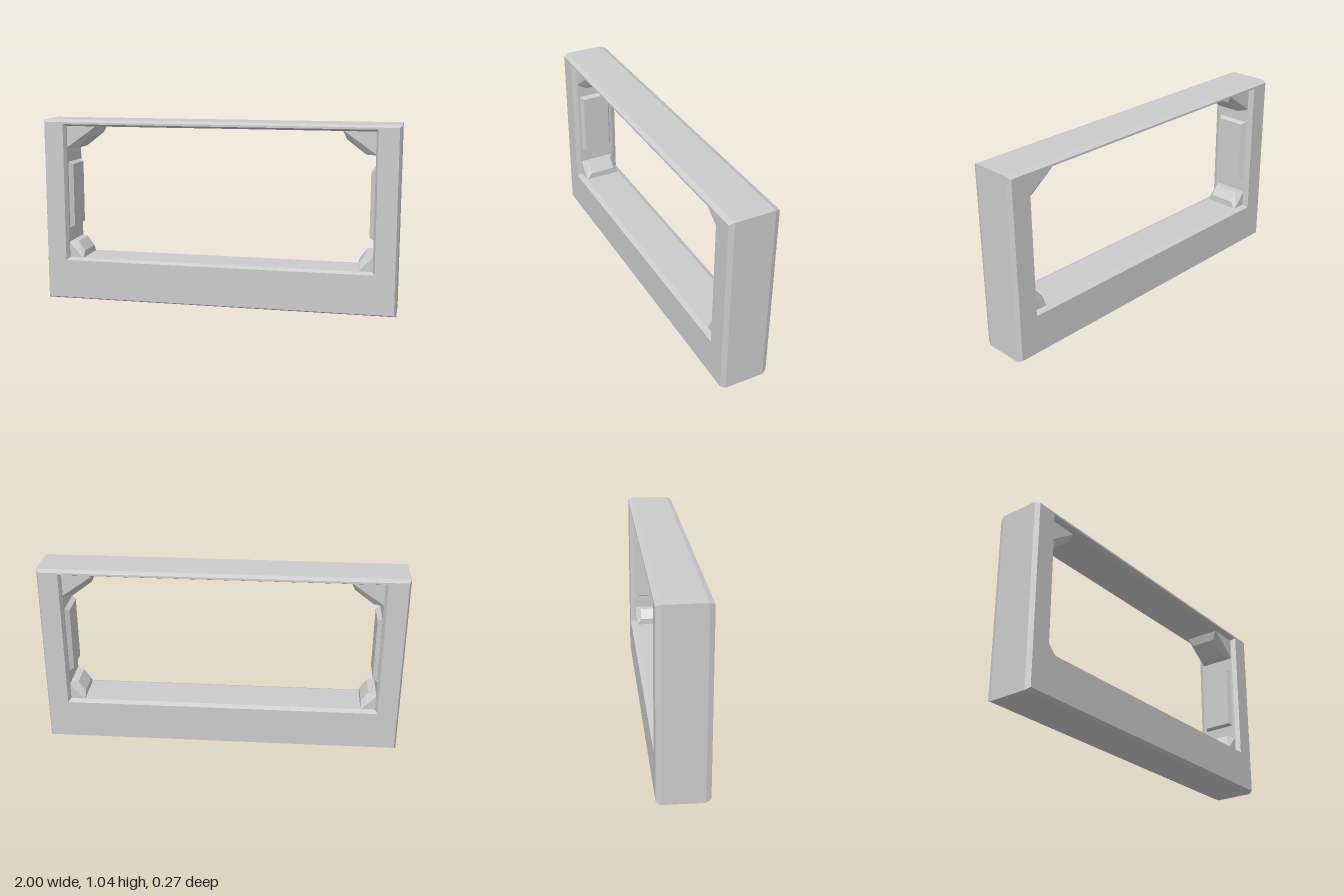
import * as THREE from 'three';
import { ConvexGeometry } from 'three/addons/geometries/ConvexGeometry.js';

const DEPTH = 0.274;
const HOLE = { x: 0.867, bottom: 0.243, top: 1.002 };

const material = new THREE.MeshStandardMaterial({ color: 0xcccccc, flatShading: true });

function addMesh(parent, name, geometry) {
  const mesh = new THREE.Mesh(geometry, material);
  mesh.name = name;
  parent.add(mesh);
}

// Rectangle outline as a list of corners
function rectangle(x, y0, y1) {
  return [[-x, y0], [x, y0], [x, y1], [-x, y1]].map(([px, py]) => new THREE.Vector2(px, py));
}

// Block tapering from a wide base to a narrower face; outlines are [x, y] points
function taperedBlock(base, face, baseZ, faceZ, side) {
  const points = [];
  for (const s of [-1, 1]) {
    for (const [x, y] of base) points.push(new THREE.Vector3(x * side, y, s * baseZ));
    for (const [x, y] of face) points.push(new THREE.Vector3(x * side, y, s * faceZ));
  }
  return new ConvexGeometry(points);
}

export function createModel() {
  const group = new THREE.Group();
  group.name = 'windowFrame';

  // Frame with chamfered outer and inner edges
  const shape = new THREE.Shape(rectangle(1, 0, 1.037));
  shape.holes.push(new THREE.Path(rectangle(HOLE.x, HOLE.bottom, HOLE.top).reverse()));
  const bevel = 0.027;
  const frame = new THREE.ExtrudeGeometry(shape, {
    depth: DEPTH - 2 * bevel,
    bevelThickness: bevel,
    bevelSize: 0.012,
    bevelOffset: -0.012,
    bevelSegments: 1,
  });
  frame.translate(0, 0, bevel - DEPTH / 2);
  addMesh(group, 'frame', frame);

  for (const [label, side] of [['left', 1], ['right', -1]]) {
    // Large upper corner brace
    addMesh(group, label + 'UpperBrace', taperedBlock(
      [[0.875, 0.875], [0.875, 1.006], [0.69, 1.006]],
      [[0.815, 0.875], [0.71, 0.955]], 0.105, 0.075, side));

    // Small lower corner brace
    addMesh(group, label + 'LowerBrace', taperedBlock(
      [[0.875, 0.335], [0.875, 0.238], [0.785, 0.238]],
      [[0.825, 0.335], [0.785, 0.28]], 0.105, 0.075, side));

    // Raised panel on the inner side wall
    addMesh(group, label + 'SidePanel', taperedBlock(
      [[0.875, 0.41], [0.875, 0.8]],
      [[0.843, 0.425], [0.843, 0.782]], 0.1, 0.08, side));
  }
  return group;
}
